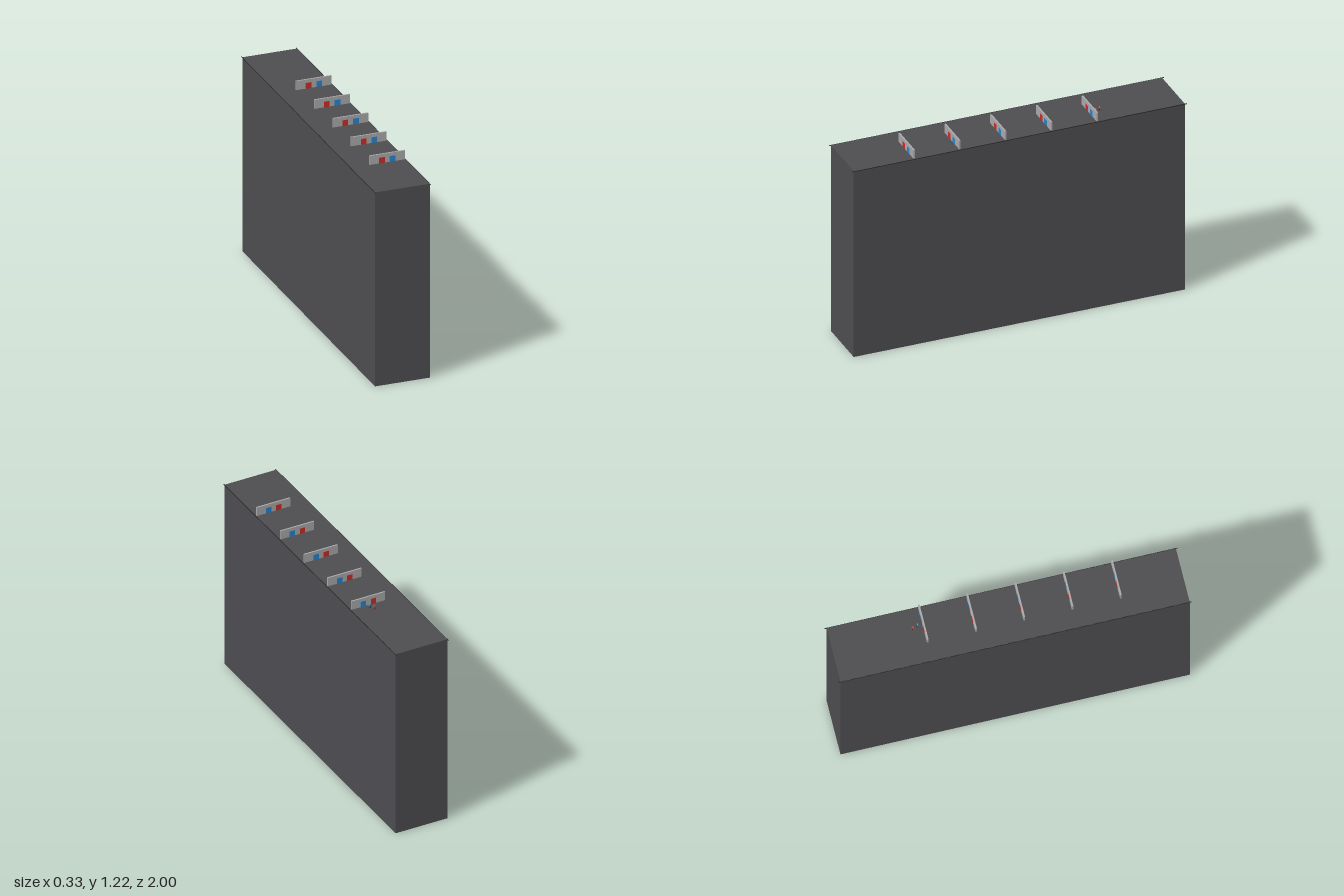
import * as THREE from 'three';

export function createModel() {
  const model = new THREE.Group();
  const mat = (name, color) => {
    const m = new THREE.MeshStandardMaterial({ color });
    m.name = name;
    return m;
  };
  const stone = mat('dark stone', 0x4d4c50);
  const edging = mat('edge black', 0x2c2c2f);
  const grey = mat('wall grey', 0xa9a9ab);
  const red = mat('red', 0xcc2b22);
  const blue = mat('blue', 0x2584d0);
  const skin = mat('skin', 0xb98262);

  const box = (parent, name, material, w, h, d, x, y, z) => {
    const mesh = new THREE.Mesh(new THREE.BoxGeometry(w, h, d), material);
    mesh.name = name;
    mesh.position.set(x, y + h / 2, z); // y is the underside
    parent.add(mesh);
    return mesh;
  };

  // Tall block with a thin strip along each long upper edge
  const top = 1.167;
  box(model, 'towerBlock', stone, 0.324, top, 1.978, 0, 0, 0.001);
  for (const s of [-1, 1]) {
    box(model, 'edgeStrip', edging, 0.004, 0.004, 2, s * 0.162, top - 0.004, 0);
  }

  // Five cross walls, each with a red and a blue door seen from both sides
  for (let i = 0; i < 5; i++) {
    const gate = new THREE.Group();
    gate.name = 'gate' + (i + 1);
    gate.position.set(0, top, 0.627 - i * 0.2735);
    box(gate, 'wall', grey, 0.21, 0.054, 0.009, 0.053, 0, 0);
    box(gate, 'redDoor', red, 0.033, 0.034, 0.011, 0.021, 0, 0);
    box(gate, 'blueDoor', blue, 0.034, 0.034, 0.011, 0.084, 0, 0);
    model.add(gate);
  }

  // Two tiny runners behind the last wall
  const addRunner = (name, shirt, x, z) => {
    const runner = new THREE.Group();
    runner.name = name;
    runner.position.set(x, top, z);
    box(runner, 'torso', shirt, 0.011, 0.011, 0.007, 0, 0.009, 0);
    for (const s of [-1, 1]) {
      box(runner, 'leg', edging, 0.004, 0.01, 0.004, s * 0.003, 0, s * 0.003).rotation.x = s * -0.4;
      box(runner, 'arm', skin, 0.003, 0.009, 0.003, s * 0.007, 0.01, -s * 0.002).rotation.x = s * 0.5;
    }
    const head = new THREE.Mesh(new THREE.SphereGeometry(0.004, 12, 8), skin);
    head.name = 'head';
    head.position.y = 0.023;
    runner.add(head);
    model.add(runner);
  };
  addRunner('redRunner', red, 0.046, -0.527);
  addRunner('blueRunner', blue, 0.058, -0.498);

  return model;
}
